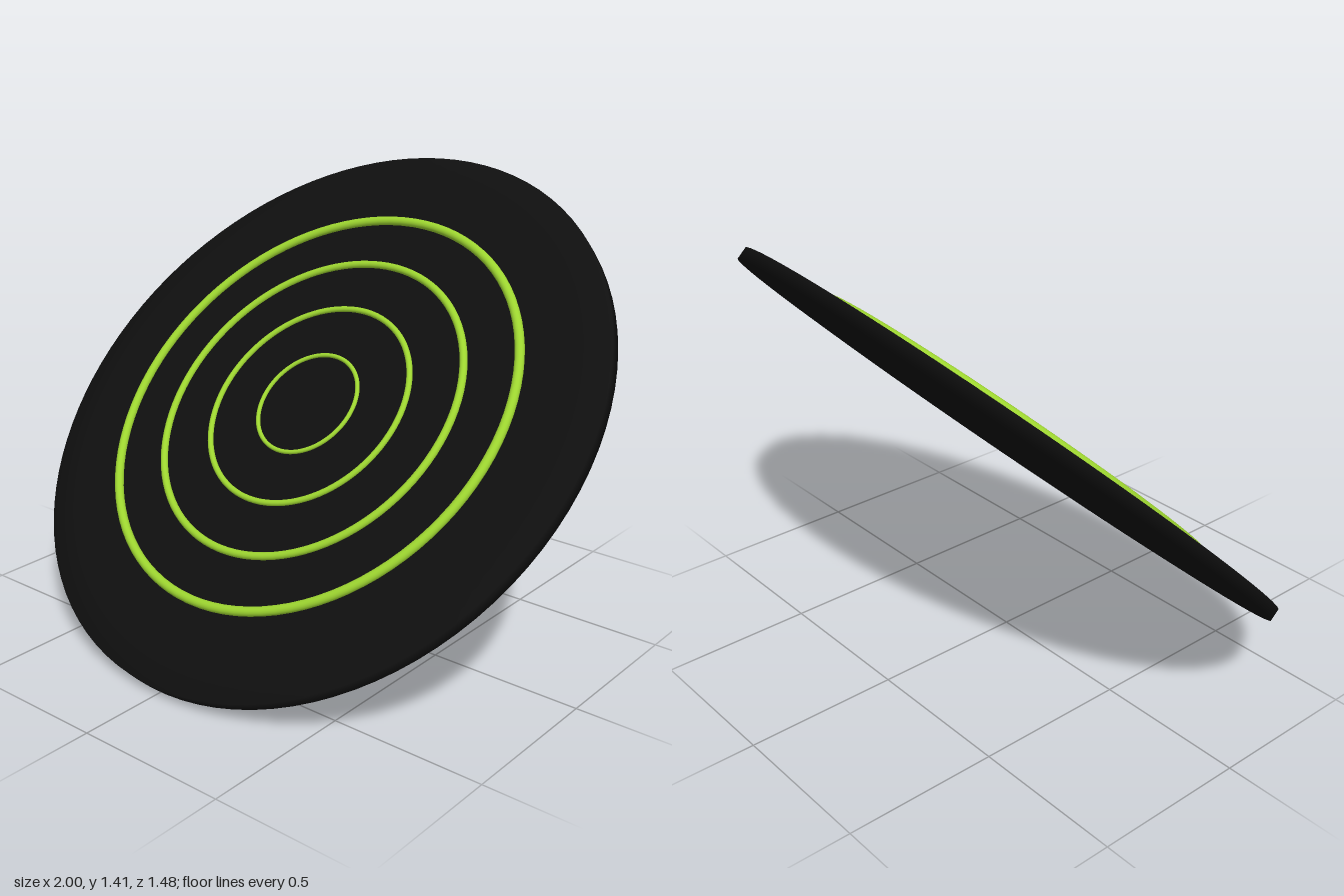
import * as THREE from 'three';

const RIM = 0.02;    // half thickness at the rim
const SWELL = 0.012; // extra half thickness at the centre

export function createModel() {
  const model = new THREE.Group();
  const disc = new THREE.Group();
  disc.name = 'tiltedDisc';
  model.add(disc);

  const black = new THREE.MeshStandardMaterial({ color: 0x0f0f0f });
  const green = new THREE.MeshStandardMaterial({ color: 0x9dd530 });

  const add = (name, geometry, material) => {
    const mesh = new THREE.Mesh(geometry, material);
    mesh.name = name;
    disc.add(mesh);
  };

  // Nearly flat plate: both faces swell slightly and join at a narrow rim
  const upper = [], lower = [];
  for (let i = 0; i <= 10; i++) {
    const r = i / 10;
    const h = RIM + SWELL * (1 - r ** 4);
    lower.push(new THREE.Vector2(r, -h));
    upper.unshift(new THREE.Vector2(r, h));
  }
  add('plate', new THREE.LatheGeometry([...lower, ...upper], 96), black);

  // Concentric rings at one level, each thicker than the one inside it
  for (let i = 1; i <= 4; i++) {
    const ring = new THREE.TorusGeometry(0.18 * i, 0.0045 + 0.0026 * i, 16, 96);
    ring.rotateX(-Math.PI / 2);
    ring.translate(0, 0.034, 0);
    add('ring' + i, ring, green);
  }

  // Lean the plate back with a slight sideways tilt
  const normal = new THREE.Vector3(-0.06, 0.722, 0.69).normalize();
  disc.quaternion.setFromUnitVectors(new THREE.Vector3(0, 1, 0), normal);
  disc.position.y = Math.sqrt(1 - normal.y ** 2) + RIM * normal.y;
  return model;
}
